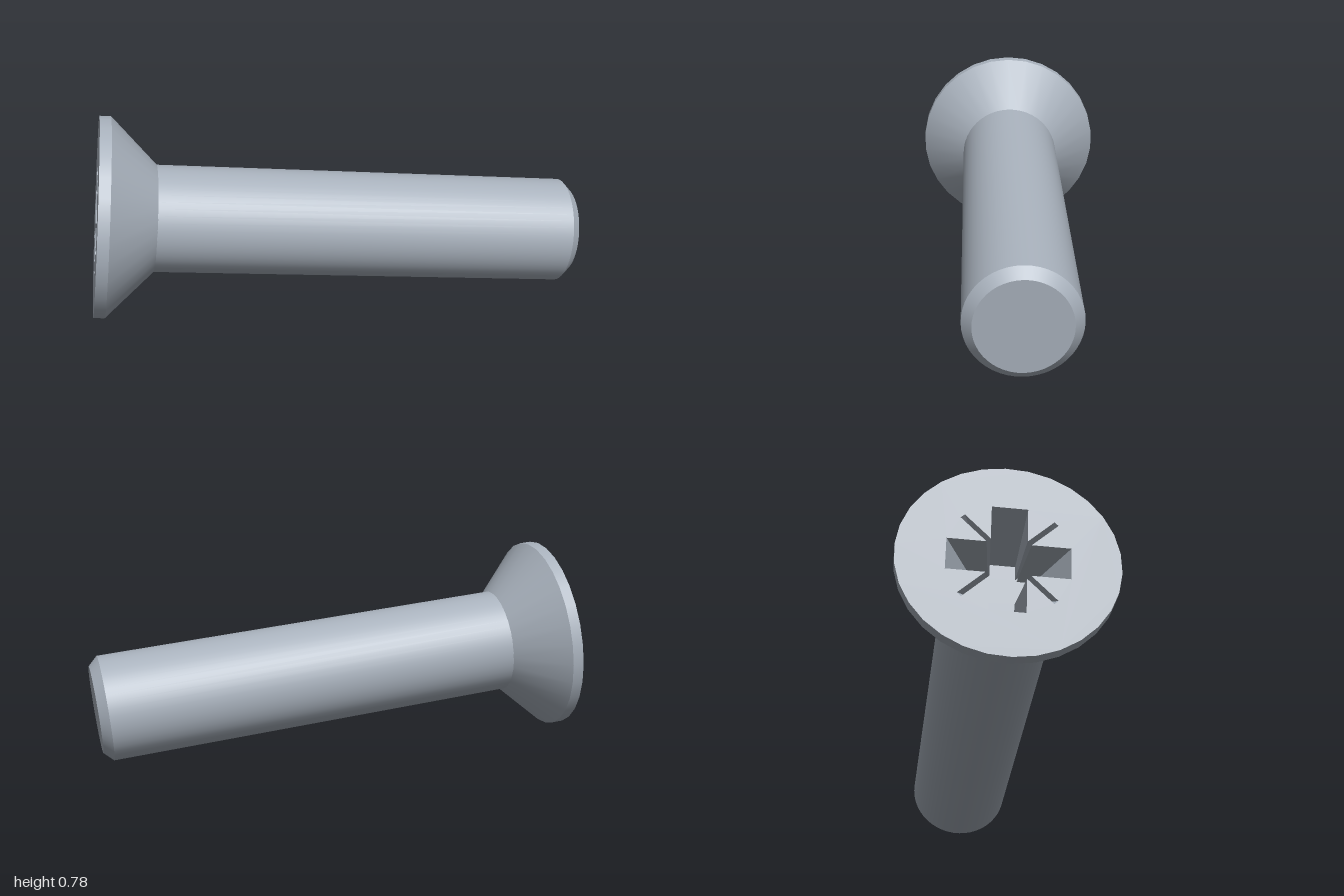
import * as THREE from 'three';

const LENGTH = 1.92, HEAD_R = 0.392, RIM = 0.044, SHANK_R = 0.21, TIP_R = 0.174, CHAMFER = 0.037;
const HEAD_SIDES = 30, SHANK_SIDES = 48, RECESS_DEPTH = 0.2;

// Cross outline with a narrow diagonal slot in each inner corner, counter-clockwise
function crossOutline(reach, half, slot, slotHalf) {
  const quarter = [
    [reach, -half], [reach, half],
    [half + 2 * slotHalf, half],
    [slot + slotHalf, slot - slotHalf], [slot - slotHalf, slot + slotHalf],
    [half, half + 2 * slotHalf],
  ];
  const points = [];
  for (let k = 0; k < 4; k++) {
    for (const [x, y] of quarter) {
      points.push(new THREE.Vector2(x, y).rotateAround(new THREE.Vector2(), k * Math.PI / 2 - 0.05));
    }
  }
  return points;
}

// Inward-facing walls between two matching outlines
function recessWalls(top, bottom, depth) {
  const pos = [];
  top.forEach((a, i) => {
    const j = (i + 1) % top.length;
    const b = top[j], c = bottom[j], d = bottom[i];
    pos.push(a.x, a.y, 0, b.x, b.y, 0, c.x, c.y, -depth);
    pos.push(a.x, a.y, 0, c.x, c.y, -depth, d.x, d.y, -depth);
  });
  const geo = new THREE.BufferGeometry();
  geo.setAttribute('position', new THREE.Float32BufferAttribute(pos, 3));
  geo.computeVertexNormals();
  return geo;
}

export function createModel() {
  const steel = new THREE.MeshStandardMaterial({ color: 0xa9b2bd });
  steel.name = 'steel grey';

  const screw = new THREE.Group();
  screw.name = 'countersunkScrew';
  const add = (name, geo) => {
    const mesh = new THREE.Mesh(geo, steel);
    mesh.name = name;
    screw.add(mesh);
    return mesh;
  };

  // One turned band along the screw axis; the head face is at z = 0 and the tip at -LENGTH
  const band = (name, r0, z0, r1, z1, sides) => {
    const profile = [new THREE.Vector2(r0, z0), new THREE.Vector2(r1, z1)];
    return add(name, new THREE.LatheGeometry(profile, sides).rotateX(Math.PI / 2));
  };

  // Head, shank and chamfered tip
  const neckZ = -RIM - (HEAD_R - SHANK_R);
  band('headRim', HEAD_R, -RIM, HEAD_R, 0, HEAD_SIDES);
  band('headCone', SHANK_R, neckZ, HEAD_R, -RIM, HEAD_SIDES);
  band('shank', SHANK_R, -LENGTH + CHAMFER, SHANK_R, neckZ + 0.004, SHANK_SIDES);
  band('tipChamfer', TIP_R, -LENGTH, SHANK_R, -LENGTH + CHAMFER, SHANK_SIDES);
  const tip = add('tipFace', new THREE.CircleGeometry(TIP_R, SHANK_SIDES).rotateY(Math.PI));
  tip.position.z = -LENGTH;

  // Head face pierced by the driver recess
  const rimPoints = [];
  for (let i = 0; i < HEAD_SIDES; i++) {
    const a = i / HEAD_SIDES * Math.PI * 2;
    rimPoints.push(new THREE.Vector2(HEAD_R * Math.sin(a), -HEAD_R * Math.cos(a)));
  }
  const mouth = crossOutline(0.216, 0.064, 0.164, 0.007);
  const floor = crossOutline(0.11, 0.046, 0.058, 0.003);
  const face = new THREE.Shape(rimPoints);
  face.holes.push(new THREE.Path(mouth));
  add('headFace', new THREE.ShapeGeometry(face));

  // Tapered recess walls and floor
  add('recessWalls', recessWalls(mouth, floor, RECESS_DEPTH));
  add('recessFloor', new THREE.ShapeGeometry(new THREE.Shape(floor))).position.z = -RECESS_DEPTH;

  // Lay the screw down, resting on head rim and tip
  const normal = new THREE.Vector3(-0.973, 0.0963, -0.209).normalize();
  const side = new THREE.Vector3(0, 1, 0).cross(normal).normalize();
  const up = normal.clone().cross(side);
  screw.quaternion.setFromRotationMatrix(new THREE.Matrix4().makeBasis(side, up, normal));
  screw.position.set(-0.91, 0.391, -0.108);

  const model = new THREE.Group();
  model.name = 'screwModel';
  model.add(screw);
  return model;
}
